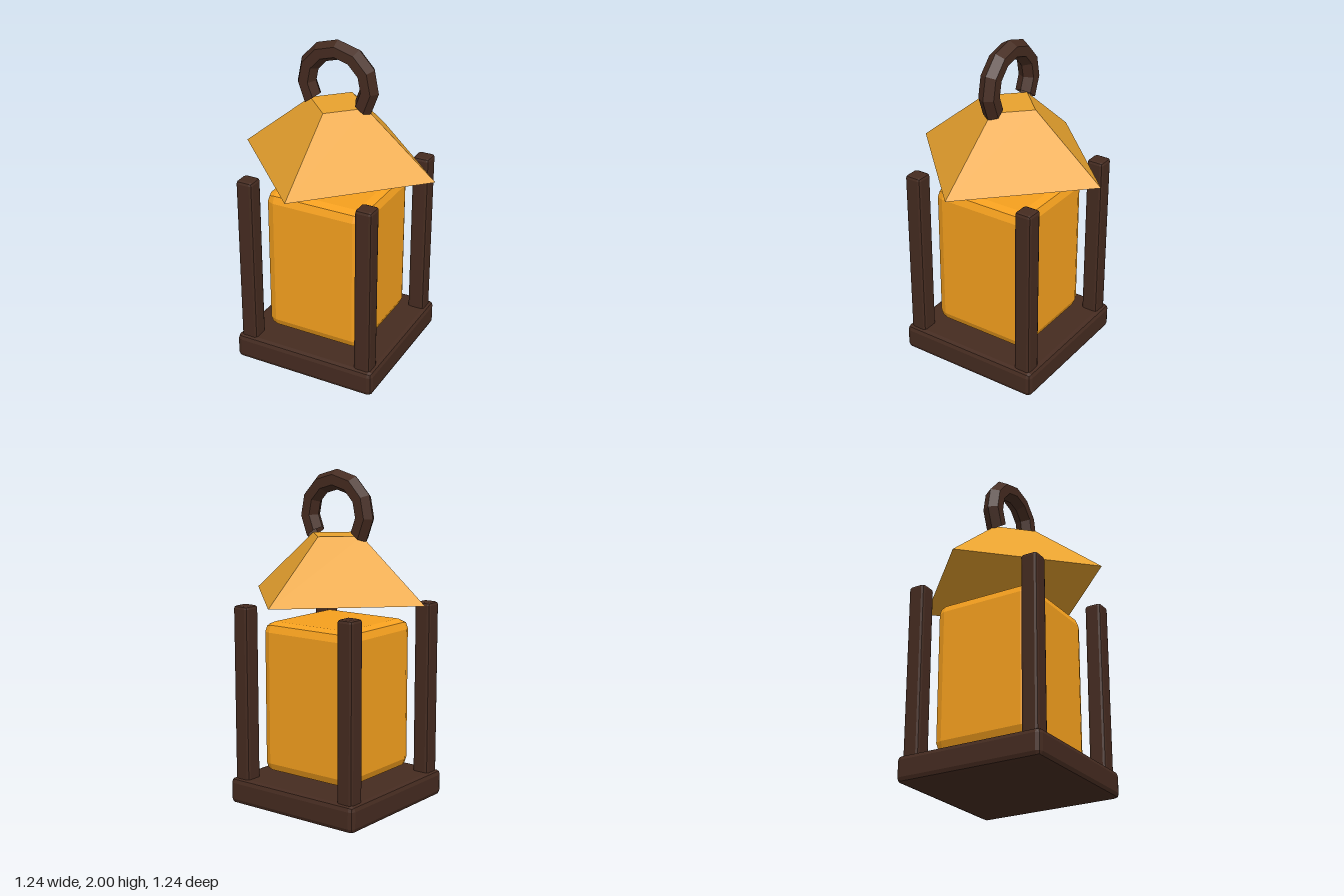
import * as THREE from 'three';
import { RoundedBoxGeometry } from 'three/addons/geometries/RoundedBoxGeometry.js';

const material = (color, side = THREE.FrontSide) =>
  new THREE.MeshStandardMaterial({ color, flatShading: true, side });

const wood = material(0x452b20);
const handleWood = material(0x452b20, THREE.DoubleSide);
const glow = material(0xf5a01e);
const gold = material(0xe8a22e);

export function createModel() {
  const lantern = new THREE.Group();
  lantern.name = 'lantern';

  const add = (name, geometry, mat, x, y, z) => {
    const mesh = new THREE.Mesh(geometry, mat);
    mesh.name = name;
    mesh.position.set(x, y, z);
    lantern.add(mesh);
    return mesh;
  };
  // Box with two-step softened edges, placed by its bottom and top heights
  const softBox = (name, width, bottom, top, radius, mat, x = 0, z = 0) =>
    add(name, new RoundedBoxGeometry(width, top - bottom, width, 1, radius),
      mat, x, (bottom + top) / 2, z);

  // Base plate and glowing body
  softBox('base', 0.92, 0, 0.16, 0.03, wood);
  softBox('lightBody', 0.64, 0.19, 1.11, 0.06, glow);

  // Corner posts
  for (const x of [-1, 1]) {
    for (const z of [-1, 1]) {
      const name = (z > 0 ? 'front' : 'back') + (x > 0 ? 'Left' : 'Right') + 'Post';
      softBox(name, 0.106, 0.13, 1.21, 0.018, wood, x * 0.383, z * 0.383);
    }
  }

  // Four-sided roof, its corners pointing along the axes
  add('roof', new THREE.CylinderGeometry(0.18, 0.622, 0.365, 4), gold, 0, 1.4375, 0);

  // Carrying ring, open at the bottom where it meets the roof
  const arc = Math.PI * 1.4;
  const handle = add('handle', new THREE.TorusGeometry(0.2, 0.06, 6, 8, arc), handleWood, 0, 1.74, 0);
  handle.rotation.z = (Math.PI - arc) / 2;

  return lantern;
}
